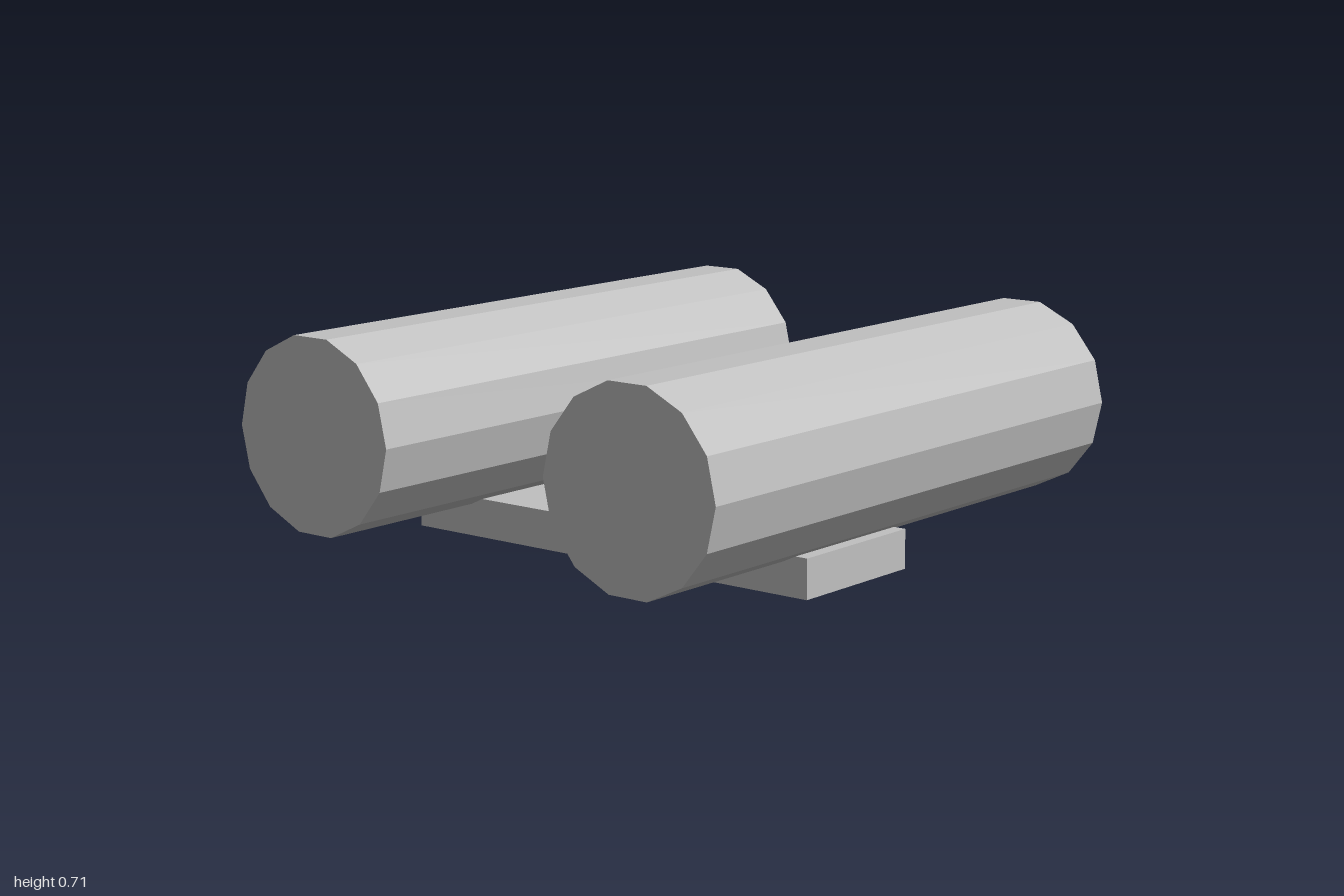
import * as THREE from 'three';

export function createModel() {
  const model = new THREE.Group();
  const grey = new THREE.MeshStandardMaterial({ color: 0xc0c0c0, flatShading: true });
  grey.name = 'light grey';

  // Two long 14-sided tubes lying along z, with a corner pointing to each side
  const radius = 0.3125;
  const tube = new THREE.CylinderGeometry(radius, radius, 2, 14, 1, false, Math.PI / 2);
  tube.rotateX(Math.PI / 2);
  for (const [name, side] of [['leftCylinder', 1], ['rightCylinder', -1]]) {
    const mesh = new THREE.Mesh(tube, grey);
    mesh.name = name;
    mesh.position.set(side * 0.623, 0.408, 0);
    model.add(mesh);
  }

  // Flat bar joining the tubes from below, set forward of the middle
  const bar = new THREE.Mesh(new THREE.BoxGeometry(1.56, 0.125, 0.5), grey);
  bar.name = 'crossBar';
  bar.position.set(0, 0.0625, 0.125);
  model.add(bar);

  return model;
}
